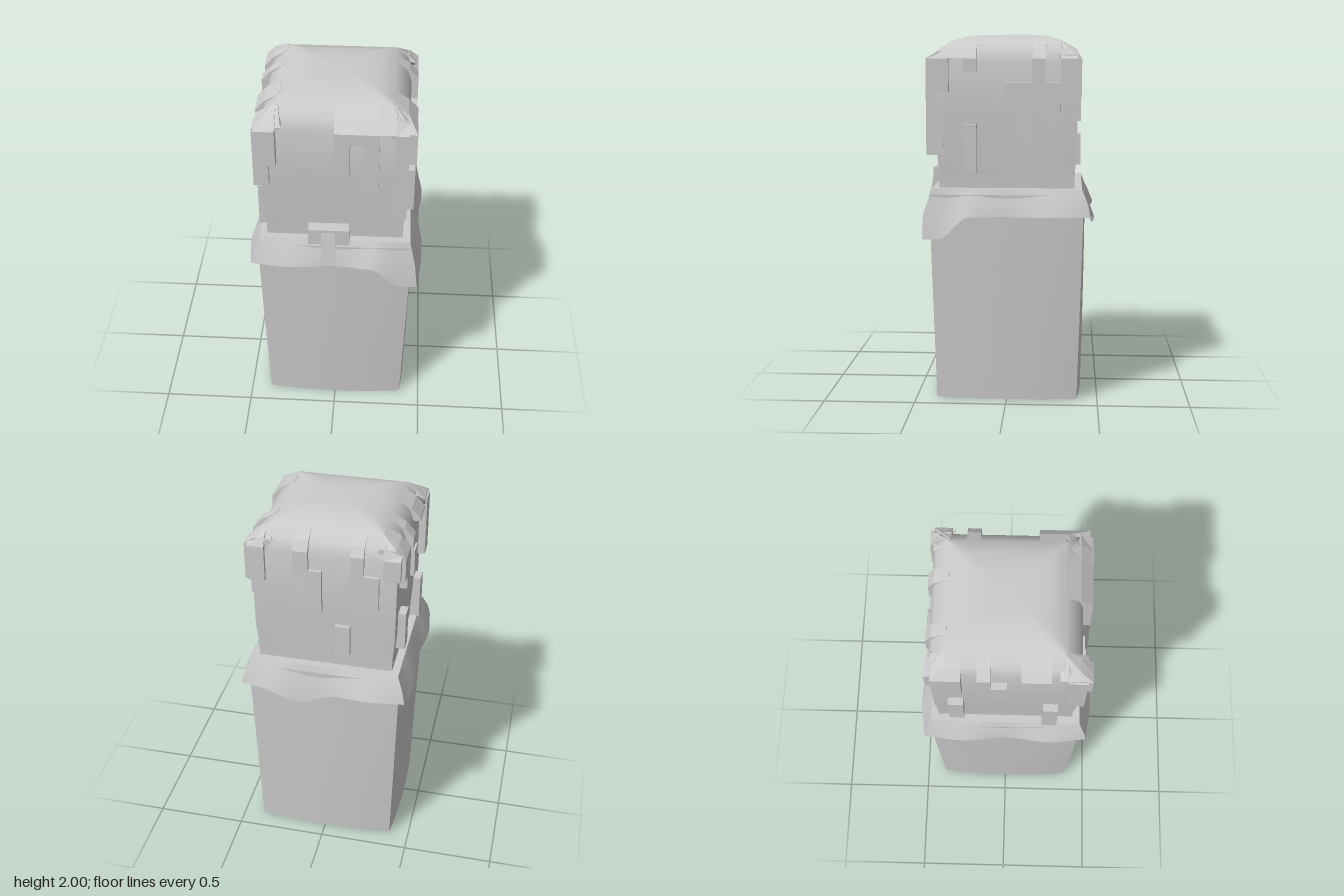
import * as THREE from 'three';
import { mergeVertices, toCreasedNormals } from 'three/addons/utils/BufferGeometryUtils.js';

const material = new THREE.MeshStandardMaterial({ color: 0xcccccc, side: THREE.DoubleSide });
const smooth = THREE.MathUtils.smoothstep;

// Four-sided loft. Each row is [y, half width at corner, bulge at mid side].
function squareLoft(name, rows, n, warp = () => {}) {
  const pos = [], index = [];
  const p = new THREE.Vector3(), up = new THREE.Vector3(0, 1, 0);
  for (let side = 0; side < 4; side++) {
    const base = pos.length / 3;
    rows.forEach(([y, half, bulge = 0], j) => {
      for (let i = 0; i <= n; i++) {
        const t = (i / n) * 2 - 1;
        p.set(half * t, y, half + bulge * (1 - t * t)).applyAxisAngle(up, side * Math.PI / 2);
        warp(p, j);
        pos.push(p.x, p.y, p.z);
        if (i < n && j < rows.length - 1) {
          const a = base + j * (n + 1) + i, d = a + n + 1;
          index.push(a, a + 1, d + 1, a, d + 1, d);
        }
      }
    });
  }
  let geo = new THREE.BufferGeometry();
  geo.setAttribute('position', new THREE.Float32BufferAttribute(pos, 3));
  geo.setIndex(index);
  geo = toCreasedNormals(mergeVertices(geo, 1e-4), 0.6);
  const mesh = new THREE.Mesh(geo, material);
  mesh.name = name;
  return mesh;
}

// Height of the domed top at a distance from its middle
const dome = [[0.12, 2], [0.22, 1.988], [0.3, 1.962], [0.36, 1.915], [0.42, 1.865]];
function domeHeight(d) {
  for (let i = 1; i < dome.length; i++) {
    const [d0, y0] = dome[i - 1], [d1, y1] = dome[i];
    if (d <= d1) return y0 + (y1 - y0) * Math.max(0, (d - d0) / (d1 - d0));
  }
  return 1.865;
}

// Drip that runs over the dome edge and down the face, from u0 to u1 along it
function capDrip(u0, u1, bottom, outer) {
  const shape = new THREE.Shape([
    [0.34, bottom], [outer, bottom], [outer, 1.868], [0.37, 1.922], [0.29, 1.968], [0.27, 1.9], [0.34, 1.8],
  ].map(([x, y]) => new THREE.Vector2(x, y)));
  const geo = new THREE.ExtrudeGeometry(shape, { depth: u1 - u0, bevelEnabled: false });
  geo.rotateY(-Math.PI / 2);
  geo.translate(u1, 0, 0);
  const pos = geo.attributes.position;
  for (let i = 0; i < pos.count; i++) {
    const limit = domeHeight(Math.abs(pos.getX(i))) + 0.006;
    pos.setY(i, Math.min(pos.getY(i), limit));
  }
  geo.computeVertexNormals();
  return geo;
}

// Free block on the face, from y0 to y1
function blockDrip(u0, u1, y0, y1, outer, inner = 0.33) {
  const geo = new THREE.BoxGeometry(u1 - u0, y1 - y0, outer - inner);
  return geo.translate((u0 + u1) / 2, (y0 + y1) / 2, (outer + inner) / 2);
}

// Drips by side: cap = [u0, u1, bottom], block = [u0, u1, y0, y1]
const sides = [
  { name: 'front', outer: 0.435,
    cap: [[-0.41, -0.37, 1.74], [-0.37, -0.3, 1.66], [0, 0.08, 1.61], [0.08, 0.16, 1.8],
      [0.16, 0.23, 1.52], [0.23, 0.31, 1.87], [0.31, 0.38, 1.35]],
    block: [[-0.14, 0.08, 1.16, 1.255]] },
  { name: 'left', outer: 0.42,
    cap: [[-0.42, -0.31, 1.69], [-0.31, -0.23, 1.87], [-0.23, -0.16, 1.8], [0.14, 0.21, 1.66], [0.29, 0.38, 1.66]],
    block: [[-0.01, 0.06, 1.66, 1.74], [0.06, 0.14, 1.43, 1.74], [0.21, 0.29, 1.52, 1.74],
      [-0.23, -0.16, 1.26, 1.52]] },
  { name: 'back', outer: 0.402,
    cap: [[-0.4, -0.31, 1.67], [-0.16, -0.08, 1.7], [0.14, 0.21, 1.66], [0.31, 0.4, 1.75]],
    block: [[-0.08, -0.01, 1.52, 1.76], [0.21, 0.29, 1.57, 1.76], [0.06, 0.14, 1.26, 1.44]] },
  { name: 'right', outer: 0.42,
    cap: [[-0.37, -0.3, 1.74], [-0.3, -0.22, 1.66], [-0.14, -0.07, 1.8], [0.08, 0.23, 1.85], [0.31, 0.41, 1.52]],
    block: [[-0.07, 0.01, 1.6, 1.76], [-0.3, -0.22, 1.28, 1.5], [0.2, 0.28, 1.17, 1.42]] },
];

export function createModel() {
  const group = new THREE.Group();

  // Tapered square container with slightly bowed walls
  group.add(squareLoft('container', [
    [0, 0], [0, 0.2, 0.012], [0, 0.387, 0.023], [0.35, 0.397, 0.021], [0.7, 0.407, 0.017], [1.14, 0.418, 0.01],
  ], 12));

  // Flared collar with a wavy, drooping lip
  group.add(squareLoft('collar', [
    [1.025, 0.465], [1.09, 0.445], [1.172, 0.408], [1.172, 0.34],
  ], 24, (p, j) => {
    const w = [1, 0.45, 0, 0][j];
    const along = Math.abs(p.x) > Math.abs(p.z) ? p.z : p.x;
    const wave = 1 + w * 0.025 * (Math.cos(along * 13) * -1);
    let drop = 0.125 * smooth(Math.min(p.x, p.z), 0.2, 0.37);
    if (p.z < -0.4) drop += 0.07 * Math.exp(-(((p.x - 0.12) / 0.13) ** 2));
    p.y -= w * drop;
    p.x *= Math.abs(p.x) >= Math.abs(p.z) - 1e-6 ? wave : 1;
    p.z *= Math.abs(p.z) >= Math.abs(p.x) - 1e-6 ? wave : 1;
  }));

  // Block with a soft domed top
  group.add(squareLoft('block', [
    [1.15, 0.366], [1.25, 0.368], [1.38, 0.378], [1.6, 0.38], [1.85, 0.382],
    [1.912, 0.362], [1.962, 0.3], [1.988, 0.22], [1.998, 0.12], [2, 0],
  ], 10));

  // Drips on the four faces
  sides.forEach(({ name, outer, cap, block }, i) => {
    const face = new THREE.Group();
    face.name = `${name}Drips`;
    face.rotation.y = i * Math.PI / 2;
    const add = (geo, part) => {
      const mesh = new THREE.Mesh(geo, material);
      mesh.name = part;
      face.add(mesh);
    };
    cap.forEach(([u0, u1, bottom]) => add(capDrip(u0, u1, bottom, outer), 'capDrip'));
    block.forEach(([u0, u1, y0, y1]) => add(blockDrip(u0, u1, y0, y1, outer), 'blockDrip'));
    group.add(face);
  });

  // Tongue hanging over the front of the collar
  const tongue = blockDrip(-0.07, 0.005, 1.07, 1.235, 0.44, 0.38);
  const pos = tongue.attributes.position;
  for (let i = 0; i < pos.count; i++) {
    if (pos.getY(i) < 1.1) pos.setZ(i, pos.getZ(i) + 0.027);
  }
  tongue.computeVertexNormals();
  const tongueMesh = new THREE.Mesh(tongue, material);
  tongueMesh.name = 'frontTongue';
  group.add(tongueMesh);

  return group;
}
